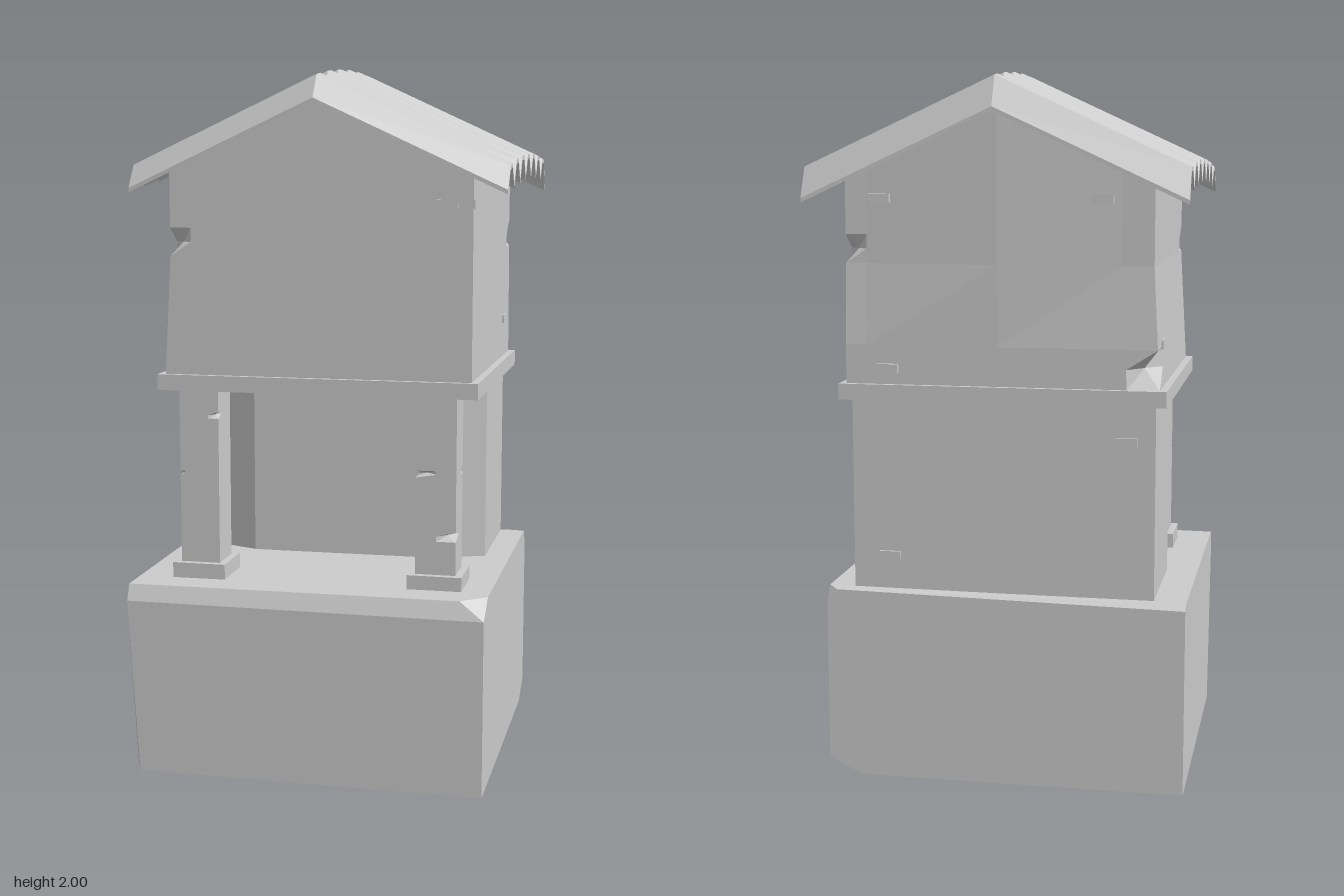
import * as THREE from 'three';
import { ConvexGeometry } from 'three/addons/geometries/ConvexGeometry.js';

const material = new THREE.MeshStandardMaterial({ color: 0xcccccc, flatShading: true });
const roofMaterial = new THREE.MeshStandardMaterial({ color: 0xcccccc, flatShading: true, side: THREE.DoubleSide });

function add(parent, name, geometry, mat = material) {
  const mesh = new THREE.Mesh(geometry, mat);
  mesh.name = name;
  parent.add(mesh);
  return mesh;
}

// Box given by its limits
function boxBetween(x0, x1, y0, y1, z0, z1) {
  return new THREE.BoxGeometry(x1 - x0, y1 - y0, z1 - z0)
    .translate((x0 + x1) / 2, (y0 + y1) / 2, (z0 + z1) / 2);
}

// Upright block with chips cut in its vertical edges.
// Corners: 0 front +x, 1 front -x, 2 back -x, 3 back +x. Chip: { corner, y, h, cut }
function chippedBlock(x0, x1, y0, y1, z0, z1, chips, shape) {
  const cuts = [0, 1, 2, 3].map(c => Math.max(0.015, ...chips.filter(k => k.corner === c).map(k => k.cut)));
  const levels = [...new Set([y0, y1, ...chips.flatMap(k => [k.y - k.h, k.y, k.y + k.h])])].sort((a, b) => a - b);
  const xm = (x0 + x1) / 2;
  const corners = [[x1, z1, -1, -1], [x0, z1, 1, -1], [x0, z0, 1, 1], [x1, z0, -1, 1]];
  const verts = [];
  for (const y of levels) {
    corners.forEach(([x, z, sx, sz], c) => {
      const d = cuts[c];
      const chipped = chips.some(k => k.corner === c && k.y === y);
      const onSide = [x, y, z + sz * d], onFace = [x + sx * d, y, z];
      const tip = chipped ? [x + sx * d / 2, y, z + sz * d / 2] : [x, y, z];
      verts.push(...(c % 2 ? [onFace, tip, onSide] : [onSide, tip, onFace]));
      if (c === 0) verts.push([xm, y, z1]);
      if (c === 2) verts.push([xm, y, z0]);
    });
  }
  if (shape) verts.forEach(v => shape(v));
  const n = 14, index = [], top = (levels.length - 1) * n;
  for (let r = 0; r < levels.length - 1; r++) {
    for (let i = 0; i < n; i++) {
      const a = r * n + i, b = r * n + (i + 1) % n;
      index.push(b, a, a + n, b, a + n, b + n);
    }
  }
  for (let i = 1; i < n - 1; i++) {
    const a = (3 + i) % n, b = (4 + i) % n;
    index.push(3, a, b, top + 3, top + b, top + a);
  }
  const g = new THREE.BufferGeometry();
  g.setAttribute('position', new THREE.Float32BufferAttribute(verts.flat(), 3));
  g.setIndex(index);
  const flat = g.toNonIndexed();
  flat.computeVertexNormals();
  return flat;
}

export function createModel() {
  const model = new THREE.Group();
  model.name = 'shrine';

  // Stone base with worn corners and a bevelled front edge
  const basePoints = [
    [-0.5, 0, 0.49], [-0.53, 0, 0.42], [-0.53, 0.5, 0.49], [0.49, 0, 0.49], [0.49, 0.5, 0.49],
    [-0.53, 0.545, 0.47], [0.42, 0.55, 0.47], [0.49, 0.55, 0.41],
    [-0.53, 0, -0.45], [-0.53, 0.53, -0.45], [-0.53, 0.545, -0.43],
    [0.4, 0, -0.45], [0.49, 0, -0.36], [0.49, 0.05, -0.45],
    [0.49, 0.51, -0.45], [0.46, 0.545, -0.45], [0.49, 0.55, -0.42],
    [-0.02, 0.515, -0.45], [-0.02, 0.55, -0.4],
  ].map(p => new THREE.Vector3(...p));
  add(model, 'base', new ConvexGeometry(basePoints));

  // Lower room with bevelled front corners
  const footprint = new THREE.Shape([
    [-0.44, -0.42], [-0.44, -0.06], [-0.29, 0], [0.26, 0], [0.415, -0.06], [0.415, -0.42],
  ].map(([x, z]) => new THREE.Vector2(x, -z)));
  const room = new THREE.ExtrudeGeometry(footprint, { depth: 0.55, bevelEnabled: false });
  room.rotateX(-Math.PI / 2).translate(0, 0.548, 0);
  add(model, 'lowerRoom', room);

  // Two front posts on square feet
  const posts = [
    ['leftPost', 0.275, [
      { corner: 0, y: 0.7, h: 0.015, cut: 0.055 },
      { corner: 1, y: 0.875, h: 0.02, cut: 0.06 },
      { corner: 3, y: 0.875, h: 0.01, cut: 0.035 },
    ]],
    ['rightPost', -0.41, [
      { corner: 0, y: 1.02, h: 0.01, cut: 0.03 },
      { corner: 1, y: 0.85, h: 0.006, cut: 0.015 },
    ]],
  ];
  for (const [name, x, chips] of posts) {
    const post = new THREE.Group();
    post.name = name;
    add(post, 'shaft', chippedBlock(x, x + 0.115, 0.58, 1.1, 0.24, 0.355, chips));
    add(post, 'foot', boxBetween(x - 0.02, x + 0.135, 0.545, 0.59, 0.22, 0.375));
    model.add(post);
  }

  // Ledge between the storeys
  add(model, 'ledge', boxBetween(-0.47, 0.45, 1.09, 1.135, -0.44, 0.37));

  // Upper room: gabled top, flared foot, slightly bowed back
  const upper = chippedBlock(-0.43, 0.43, 1.13, 1.715, -0.41, 0.355, [
    { corner: 1, y: 1.51, h: 0.04, cut: 0.06 },
    { corner: 3, y: 1.51, h: 0.04, cut: 0.06 },
    { corner: 2, y: 1.19, h: 0.055, cut: 0.09 },
  ], v => {
    const y = v[1];
    if (y === 1.715) v[1] = 1.905 - 0.45 * Math.abs(v[0]);
    if (v[0] < -0.2 && y < 1.47) v[0] -= 0.02 * (1.47 - y) / 0.34;
    if (v[2] < -0.4 && (v[0] === 0 || y < 1.47)) v[2] -= 0.015;
  });
  add(model, 'upperRoom', upper);

  // Loose bricks standing slightly proud of the walls
  const bricks = new THREE.Group();
  bricks.name = 'bricks';
  for (const [x, y, z] of [[0.36, 1.62, 0.353], [-0.29, 1.65, -0.424], [0.33, 1.65, -0.422],
    [0.31, 1.18, -0.43], [-0.36, 0.99, -0.42], [0.31, 0.645, -0.42]]) {
    add(bricks, 'brick', new THREE.BoxGeometry(0.06, 0.025, 0.016)).position.set(x, y, z);
  }
  for (const [x, y, z] of [[0.429, 1.25, -0.3], [-0.442, 1.25, -0.3], [0.428, 1.62, 0.32]]) {
    add(bricks, 'brick', new THREE.BoxGeometry(0.012, 0.025, 0.06)).position.set(x, y, z);
  }
  model.add(bricks);

  // Corrugated roof: thin zigzag sheet, folded along the ridge
  const waves = 7, period = 0.13, top = [];
  const crown = z => 1.998 - 0.14 * (z + 0.08) ** 2;
  for (let i = 0; i < waves; i++) {
    const z = -0.49 + i * period;
    top.push([z, crown(z) - (i === 0 ? 0.08 : 0.06)], [z + 0.042, crown(z + 0.042)], [z + 0.084, crown(z + 0.084)]);
  }
  top.push([0.422, 1.905]);
  const outline = [...top, ...top.map(([z, y]) => [z, y - 0.012]).reverse()];
  const sheet = new THREE.Shape(outline.map(([z, y]) => new THREE.Vector2(-z, y)));
  const roof = new THREE.ExtrudeGeometry(sheet, { depth: 1.06, steps: 2, bevelEnabled: false });
  roof.rotateY(Math.PI / 2).translate(-0.53, 0, 0);
  const p = roof.attributes.position;
  for (let i = 0; i < p.count; i++) {
    const ax = Math.abs(p.getX(i));
    p.setY(i, p.getY(i) - 0.46 * ax);
    p.setZ(i, p.getZ(i) - 0.015 * ax);
  }
  roof.computeVertexNormals();
  add(model, 'roof', roof, roofMaterial);

  return model;
}
